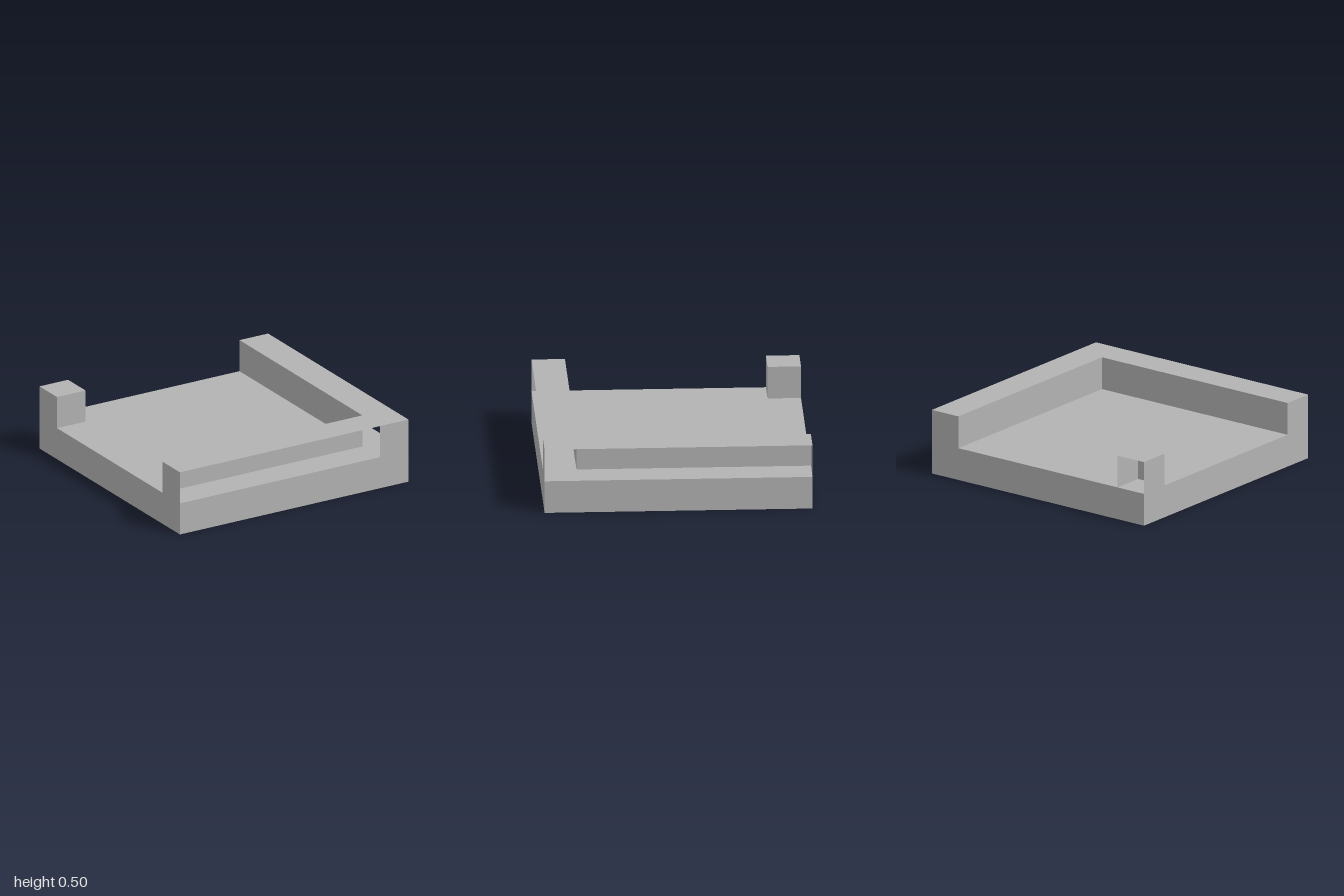
import * as THREE from 'three';

const HALF = 1;      // half width of the square slab
const IN = 0.75;     // inner edge of the raised walls
const LOW = 0.25;    // deck height
const TOP = 0.5;     // wall height

// Rotations that turn a flat XY outline towards each side
const FACING = {
  front: [0, 0],             // u = x
  back: [0, Math.PI],        // u = -x
  plusX: [0, Math.PI / 2],   // u = -z
  minusX: [0, -Math.PI / 2], // u = z
  up: [-Math.PI / 2, 0],     // u = x, v = -z
};

const rect = (u0, v0, u1, v1) => [[u0, v0], [u1, v0], [u1, v1], [u0, v1]];

export function createModel() {
  const group = new THREE.Group();
  const stone = new THREE.MeshStandardMaterial({ color: 0xb2b2b2, side: THREE.DoubleSide });
  stone.name = 'stone grey';

  // Flat panel from an outline, turned to a side and pushed out along its normal
  function panel(name, facing, offset, points) {
    const shape = new THREE.Shape(points.map(([u, v]) => new THREE.Vector2(u, v)));
    const geometry = new THREE.ShapeGeometry(shape);
    const [rx, ry] = FACING[facing];
    geometry.translate(0, 0, offset).rotateX(rx).rotateY(ry);
    const mesh = new THREE.Mesh(geometry, stone);
    mesh.name = name;
    group.add(mesh);
  }

  // Deck and outer skirt, open underneath
  panel('deck', 'up', LOW, rect(-HALF, -HALF, HALF, HALF));
  const endSide = [[-HALF, 0], [HALF, 0], [HALF, TOP], [IN, TOP], [IN, LOW], [-HALF, LOW]];
  panel('frontSide', 'front', HALF, endSide);
  panel('backSide', 'back', HALF, endSide.map(([u, v]) => [-u, v]).reverse());
  panel('leftSide', 'plusX', HALF, rect(-HALF, 0, HALF, LOW));
  panel('rightSide', 'minusX', HALF, [
    [-HALF, 0], [HALF, 0], [HALF, TOP], [IN, TOP],
    [IN, LOW], [-IN, LOW], [-IN, TOP], [-HALF, TOP],
  ]);

  // L-shaped wall: top and inner faces, outer upper faces left open
  panel('wallTop', 'up', TOP, [
    [-HALF, -HALF], [HALF, -HALF], [HALF, HALF], [IN, HALF], [IN, -IN], [-HALF, -IN],
  ]);
  panel('frontWallInner', 'back', -IN, rect(-IN, LOW, HALF, TOP));
  panel('leftWallInner', 'minusX', -IN, rect(-HALF, LOW, IN, TOP));

  // Corner post, open at the back
  panel('postTop', 'up', TOP, rect(-HALF, IN, -IN, HALF));
  panel('postFront', 'front', -IN, rect(-HALF, LOW, -IN, TOP));
  panel('postLeft', 'plusX', -IN, rect(IN, LOW, HALF, TOP));

  return group;
}
